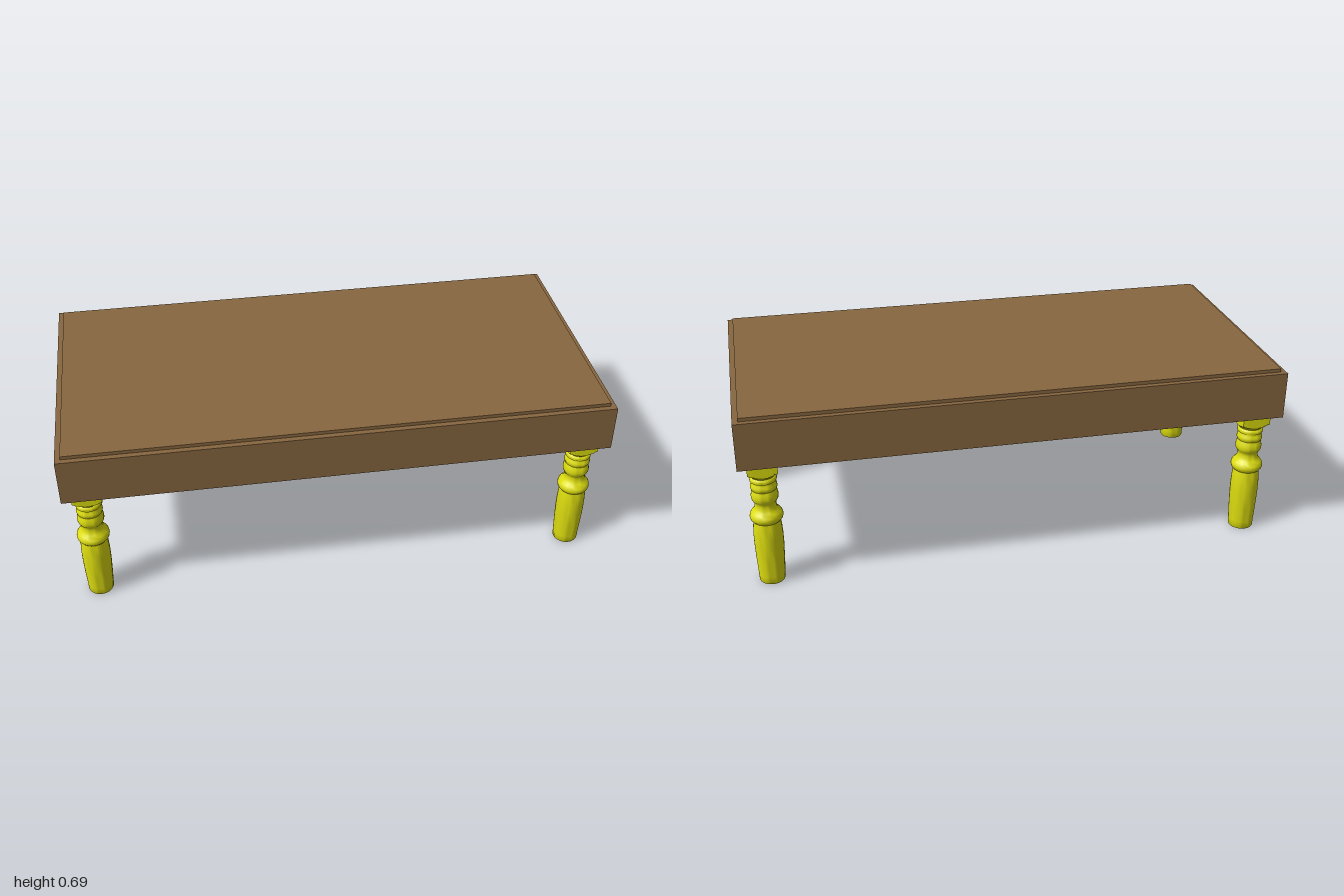
import * as THREE from 'three';
import { toCreasedNormals } from 'three/addons/utils/BufferGeometryUtils.js';

const wood = new THREE.MeshStandardMaterial({ color: 0x886740 });
const yellow = new THREE.MeshStandardMaterial({ color: 0xdede10 });

function lathe(points, segments) {
  return new THREE.LatheGeometry(points.map(([r, y]) => new THREE.Vector2(r, y)), segments);
}

function mesh(name, geometry, material) {
  const m = new THREE.Mesh(geometry, material);
  m.name = name;
  return m;
}

// Turned leg: tapered foot, beads and vase shape
function turnedLegGeometry() {
  const profile = [
    [0, 0], [0.045, 0], [0.047, 0.004], [0.048, 0.03], [0.051, 0.09], [0.053, 0.15], [0.053, 0.19],
    [0.051, 0.23], [0.048, 0.25],
    [0.052, 0.253], [0.058, 0.261], [0.06, 0.27], [0.058, 0.28], [0.053, 0.288],
    [0.045, 0.296], [0.04, 0.306], [0.038, 0.318], [0.039, 0.328],
    [0.044, 0.334], [0.048, 0.343], [0.049, 0.353], [0.047, 0.366], [0.043, 0.378],
    [0.046, 0.381], [0.048, 0.388], [0.047, 0.397], [0.043, 0.404], [0.042, 0.411],
    [0.047, 0.413], [0.048, 0.418], [0.048, 0.425], [0.046, 0.429], [0.042, 0.431], [0.042, 0.437],
  ];
  return toCreasedNormals(lathe(profile, 32), 0.7);
}

// Square block with a turned chamfer: a lathe clamped to a square section
function legBlockGeometry(half, top) {
  const points = [[0, 0.432], [0.043, 0.432]];
  for (let i = 0; i <= 8; i++) points.push([0.051 + 0.003 * i, 0.441 + 0.002 * i]);
  points.push([0.08, top], [0, top]);
  const geometry = lathe(points, 40);
  const p = geometry.attributes.position;
  for (let i = 0; i < p.count; i++) {
    const k = Math.min(1, half / Math.max(Math.abs(p.getX(i)), Math.abs(p.getZ(i)), 1e-6));
    p.setXYZ(i, p.getX(i) * k, p.getY(i), p.getZ(i) * k);
  }
  return toCreasedNormals(geometry, 0.5);
}

export function createModel() {
  const group = new THREE.Group();
  group.name = 'coffeeTable';

  // Apron: open rectangular frame
  const W = 1, D = 0.488, t = 0.02;
  const rect = (S, w, d) => new S([
    new THREE.Vector2(-w, -d), new THREE.Vector2(w, -d), new THREE.Vector2(w, d), new THREE.Vector2(-w, d),
  ]);
  const frame = rect(THREE.Shape, W, D);
  frame.holes.push(rect(THREE.Path, W - t, D - t));
  const apron = mesh('apron', new THREE.ExtrudeGeometry(frame, { depth: 0.178, bevelEnabled: false }), wood);
  apron.rotation.x = -Math.PI / 2;
  apron.position.y = 0.5;
  group.add(apron);

  // Top board set into the frame and standing slightly proud
  const board = mesh('tableTop', new THREE.BoxGeometry(2 * (W - t), 0.025, 2 * (D - t)), wood);
  board.position.y = 0.6785;
  group.add(board);

  // Four legs
  const turned = turnedLegGeometry();
  const block = legBlockGeometry(0.053, 0.666);
  for (const x of [-1, 1]) {
    for (const z of [-1, 1]) {
      const leg = new THREE.Group();
      leg.name = (z > 0 ? 'front' : 'back') + (x > 0 ? 'Left' : 'Right') + 'Leg';
      leg.add(mesh('turnedPost', turned, yellow), mesh('legBlock', block, yellow));
      leg.position.set(x * 0.915, 0, z * 0.4);
      group.add(leg);
    }
  }
  return group;
}
